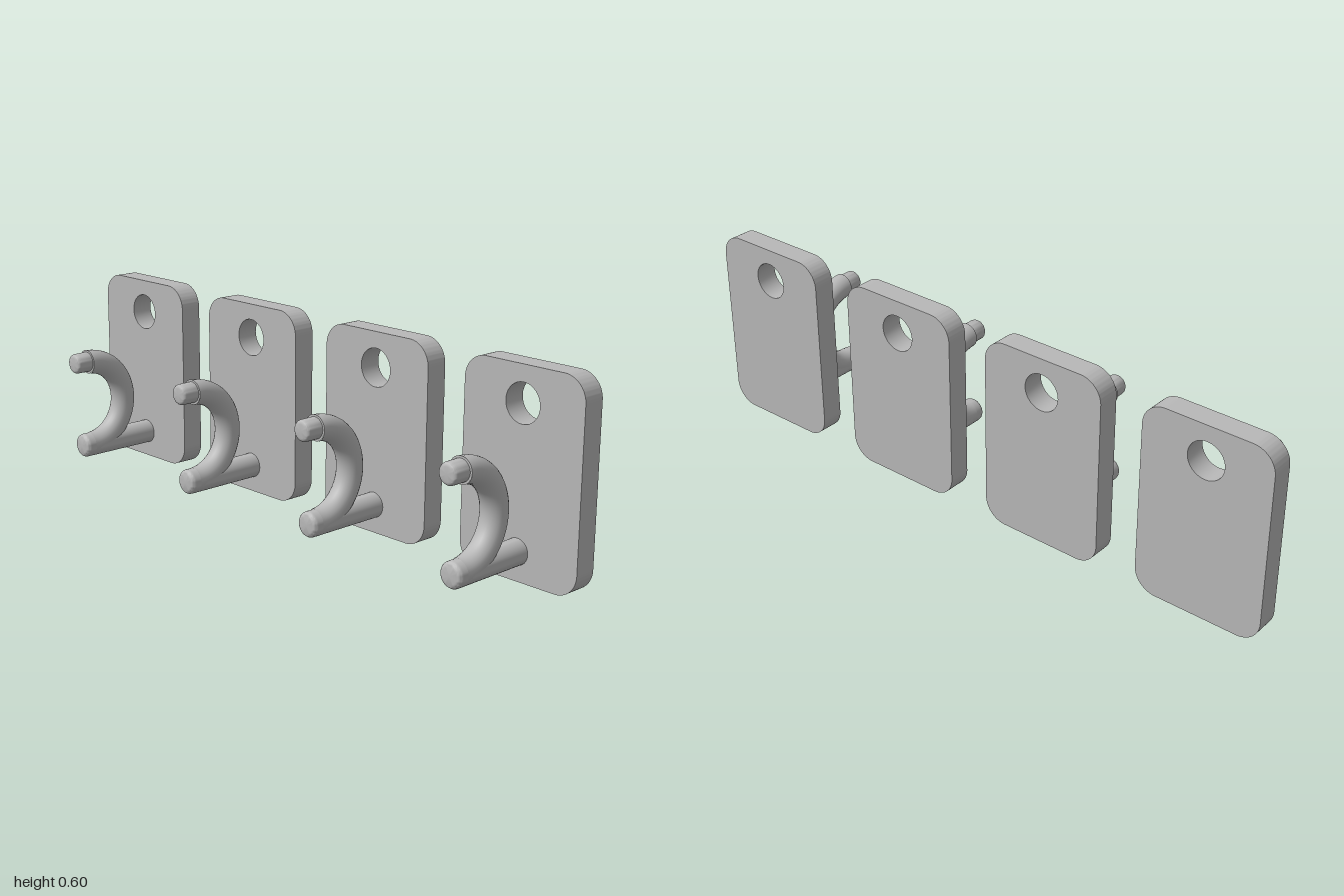
import * as THREE from 'three';
import { toCreasedNormals } from 'three/addons/utils/BufferGeometryUtils.js';

const CREASE = 0.6;

// Rounded rectangular back plate with a round screw hole
function plateGeometry() {
  const w = 0.2, h = 0.6, r = 0.07;
  const s = new THREE.Shape();
  s.moveTo(-w + r, 0);
  s.lineTo(w - r, 0);
  s.absarc(w - r, r, r, -Math.PI / 2, 0, false);
  s.absarc(w - r, h - r, r, 0, Math.PI / 2, false);
  s.absarc(-w + r, h - r, r, Math.PI / 2, Math.PI, false);
  s.absarc(-w + r, r, r, Math.PI, Math.PI * 1.5, false);
  const hole = new THREE.Path();
  hole.absarc(0, 0.495, 0.057, 0, Math.PI * 2, true);
  s.holes.push(hole);
  const g = new THREE.ExtrudeGeometry(s, { depth: 0.07, bevelEnabled: false, curveSegments: 16 });
  return toCreasedNormals(g.translate(0, 0, -0.18), CREASE);
}

// Rod along +z with a rounded front end; collar is the radius of the flange at its base
function rodGeometry(radius, z0, z1, fillet, collar = radius) {
  const pts = [];
  if (collar > radius) pts.push(new THREE.Vector2(collar, z0));
  pts.push(new THREE.Vector2(radius, z0));
  for (let i = 0; i <= 4; i++) {
    const a = (i / 4) * Math.PI / 2;
    pts.push(new THREE.Vector2(radius - fillet + fillet * Math.cos(a), z1 - fillet + fillet * Math.sin(a)));
  }
  pts.push(new THREE.Vector2(0, z1));
  return toCreasedNormals(new THREE.LatheGeometry(pts, 32).rotateX(Math.PI / 2), CREASE);
}

export function createModel() {
  const model = new THREE.Group();
  model.name = 'wallHooks';
  const grey = new THREE.MeshStandardMaterial({ color: 0xb8b8b8 });
  grey.name = 'grey';

  const parts = {
    backPlate: plateGeometry(),
    peg: rodGeometry(0.038, -0.115, 0.16, 0.014).translate(0, 0.085, 0),
    // Half ring opening to the front
    hookArc: new THREE.TorusGeometry(0.138, 0.0385, 24, 40, Math.PI)
      .rotateZ(-Math.PI / 2).rotateY(Math.PI / 2).translate(0, 0.224, 0.128),
    hookTip: rodGeometry(0.032, 0.128, 0.182, 0.012, 0.0385).translate(0, 0.363, 0),
  };

  // Row of four identical hooks
  for (let i = 0; i < 4; i++) {
    const hook = new THREE.Group();
    hook.name = `hook${i + 1}`;
    hook.position.x = -0.8 + i * 1.6 / 3;
    for (const [name, geometry] of Object.entries(parts)) {
      const mesh = new THREE.Mesh(geometry, grey);
      mesh.name = name;
      hook.add(mesh);
    }
    model.add(hook);
  }
  return model;
}
